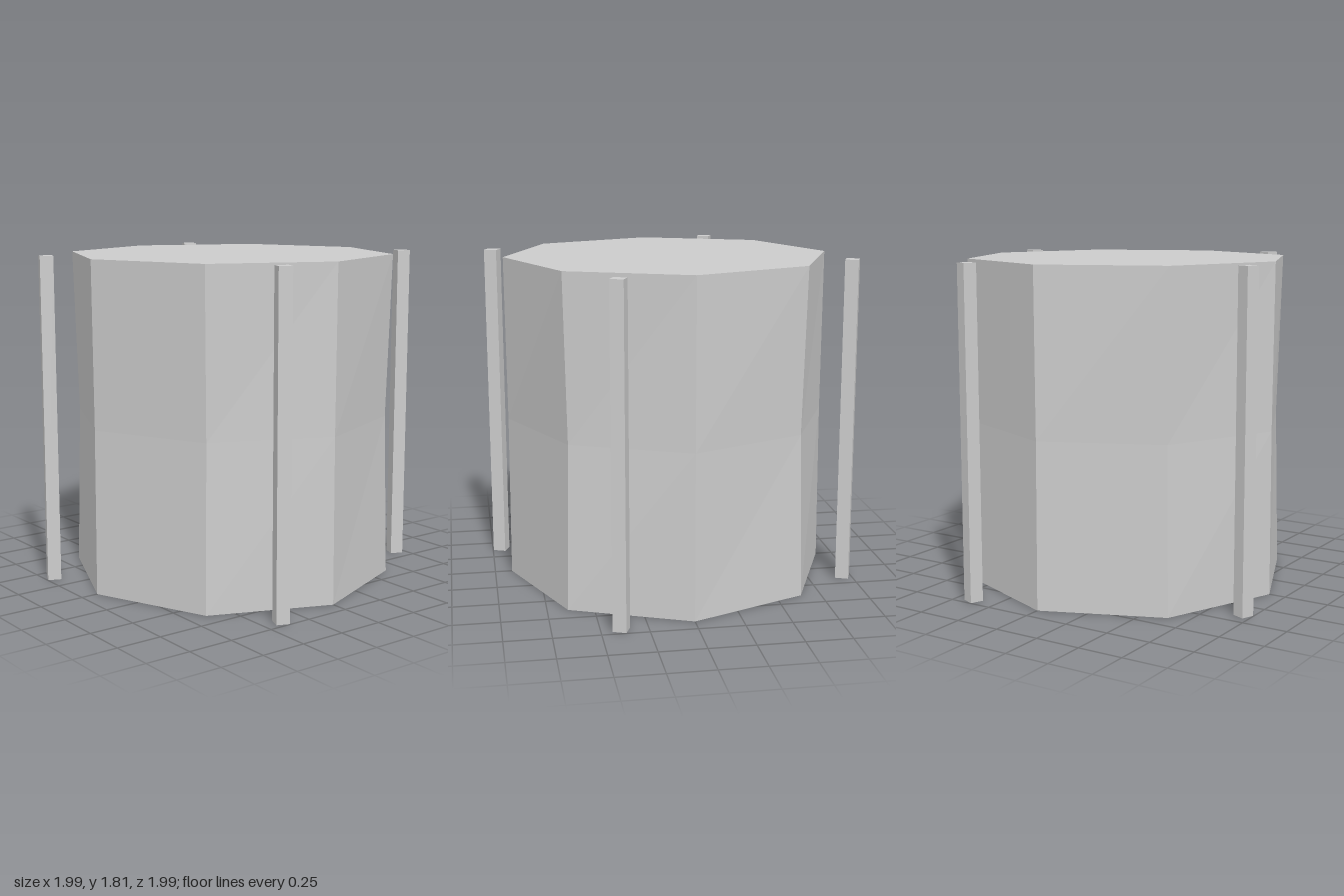
import * as THREE from 'three';

const HEIGHT = 1.81;
const RADIUS = 0.905;

export function createModel() {
  const model = new THREE.Group();
  model.name = 'drumWithPosts';
  const material = new THREE.MeshStandardMaterial({
    color: 0xcccccc, flatShading: true, side: THREE.DoubleSide,
  });

  // Eight-sided wall, open below, drawn in slightly at mid-height
  const wallGeometry = new THREE.CylinderGeometry(RADIUS, RADIUS, HEIGHT, 8, 2, true);
  const p = wallGeometry.attributes.position;
  for (let i = 0; i < p.count; i++) {
    if (Math.abs(p.getY(i)) > 0.01) continue;
    const diagonal = Math.abs(p.getX(i)) > 0.3 && Math.abs(p.getZ(i)) > 0.3;
    const pinch = diagonal ? 0.972 : 0.994;
    p.setXYZ(i, p.getX(i) * pinch, 0, p.getZ(i) * pinch);
  }
  wallGeometry.computeVertexNormals();
  const wall = new THREE.Mesh(wallGeometry, material);
  wall.name = 'drumWall';
  wall.position.y = HEIGHT / 2;
  model.add(wall);

  // Flat lid
  const lid = new THREE.Mesh(new THREE.CircleGeometry(RADIUS, 8), material);
  lid.name = 'drumLid';
  lid.rotation.x = -Math.PI / 2;
  lid.position.y = HEIGHT;
  model.add(lid);

  // Four slim posts standing clear of the wall
  const postGeometry = new THREE.BoxGeometry(0.073, HEIGHT, 0.073);
  for (let i = 0; i < 4; i++) {
    const angle = -Math.PI / 8 + (i * Math.PI) / 2;
    const post = new THREE.Mesh(postGeometry, material);
    post.name = `post${i + 1}`;
    post.position.set(Math.sin(angle) * 1.027, HEIGHT / 2, Math.cos(angle) * 1.027);
    post.rotation.y = angle;
    model.add(post);
  }
  return model;
}
